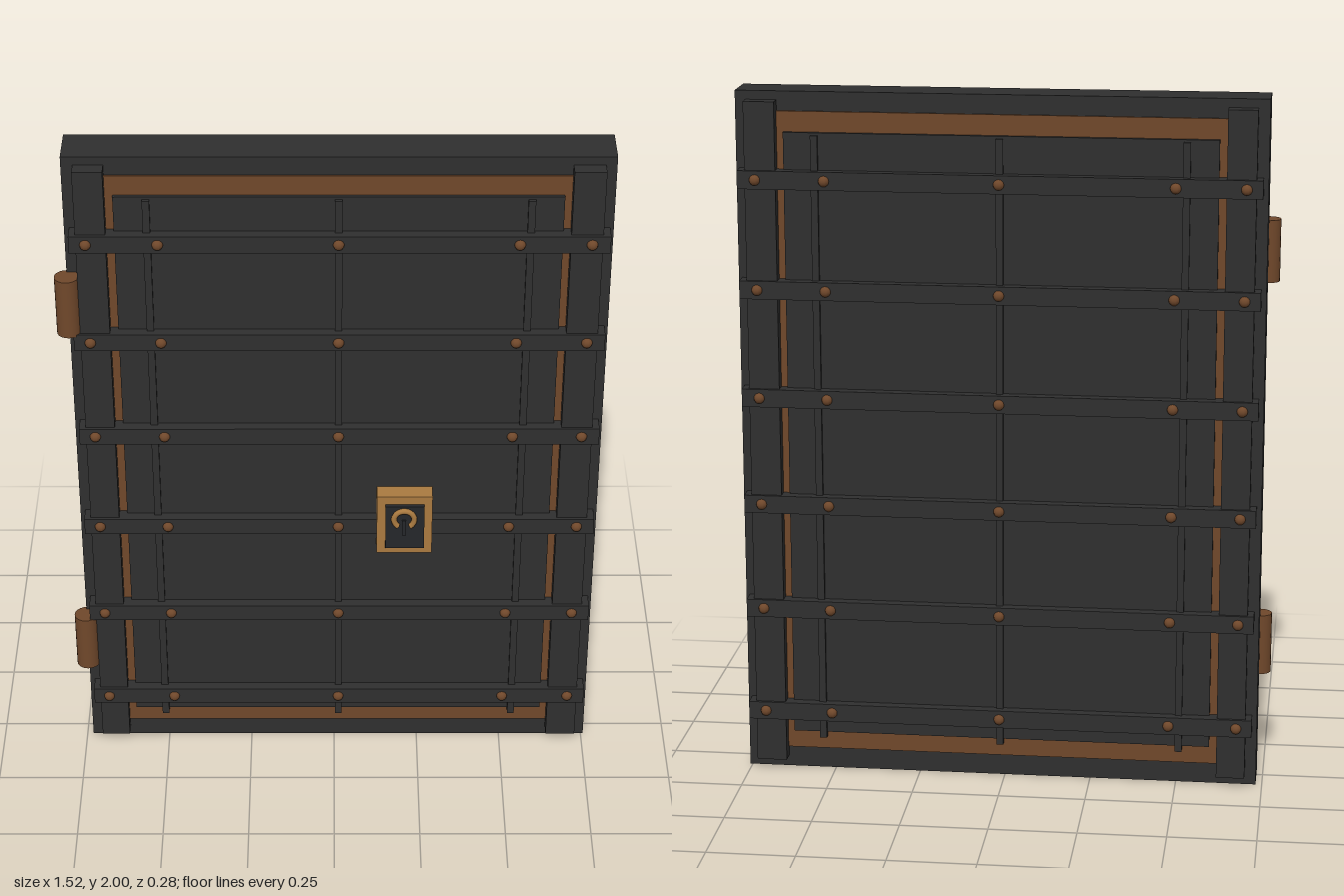
import * as THREE from 'three';

export function createModel() {
  const door = new THREE.Group();
  door.name = 'door';
  const mat = (name, color) => new THREE.MeshStandardMaterial({ name, color });
  const iron = mat('dark iron', 0x2f2f2f);
  const rust = mat('rusty brown', 0x70482b);
  const brass = mat('brass', 0xaa7a40);
  const black = mat('lock black', 0x25272b);

  const add = (name, geometry, material, parent = door) => {
    const mesh = new THREE.Mesh(geometry, material);
    mesh.name = name;
    parent.add(mesh);
    return mesh;
  };
  // Box given by its lower and upper limits on each axis
  const box = (name, [x0, x1], [y0, y1], [z0, z1], material, parent) => {
    const mesh = add(name, new THREE.BoxGeometry(x1 - x0, y1 - y0, z1 - z0), material, parent);
    mesh.position.set((x0 + x1) / 2, (y0 + y1) / 2, (z0 + z1) / 2);
    return mesh;
  };

  // Main slab, with its middle plane at z = mid
  const mid = -0.017, half = 0.0615;
  box('slab', [-0.732, 0.757], [0, 2], [mid - half, mid + half], iron);

  // Both faces carry the same layers
  const studGeometry = new THREE.SphereGeometry(0.0155, 10, 8);
  for (const side of [1, -1]) {
    const face = new THREE.Group();
    face.name = side > 0 ? 'frontFace' : 'backFace';
    door.add(face);
    // A layer reaching from the slab out to the given distance from the middle
    const layer = (name, xs, ys, reach, material) => {
      const zs = [mid + side * (half - 0.01), mid + side * reach].sort((a, b) => a - b);
      return box(name, xs, ys, zs, material, face);
    };

    layer('brownPanel', [-0.618, 0.64], [0.062, 1.945], 0.068, rust);
    layer('innerPanel', [-0.596, 0.62], [0.117, 1.887], 0.08, iron);
    layer('rightStile', [-0.7, -0.618], [0.032, 1.975], 0.102, iron);
    layer('leftStile', [0.64, 0.727], [0.032, 1.975], 0.102, iron);
    for (const x of [-0.507, 0.012, 0.532]) {
      layer('verticalStrip', [x - 0.01, x + 0.01], [0.102, 1.88], 0.09, iron);
    }

    // Riveted crossbands
    for (let i = 0; i < 6; i++) {
      const y = 0.187 + i * 0.3138;
      layer('crossband', [-0.718, 0.747], [y - 0.026, y + 0.026], 0.111, iron);
      for (const x of [-0.673, -0.478, 0.012, 0.502, 0.697]) {
        const stud = add('stud', studGeometry, rust, face);
        stud.position.set(x, y, mid + side * 0.111);
        stud.scale.z = 0.85;
      }
    }
  }

  // Hinge barrels
  for (const y of [0.388, 1.552]) {
    const hinge = add('hinge', new THREE.CylinderGeometry(0.034, 0.034, 0.178, 20), rust);
    hinge.position.set(-0.731, y, 0.068);
  }

  // Lock with raised plate, keyhole ring and slot
  const lock = new THREE.Group();
  lock.name = 'lock';
  door.add(lock);
  box('lockBase', [0.122, 0.281], [0.737, 0.934], [0.06, 0.115], brass, lock);
  box('lockPlate', [0.147, 0.258], [0.762, 0.909], [0.11, 0.127], black, lock);
  const arc = Math.PI * 1.6;
  const ring = add('keyholeRing', new THREE.TorusGeometry(0.029, 0.0085, 8, 24, arc), brass, lock);
  ring.position.set(0.2, 0.867, 0.131);
  ring.rotation.z = Math.PI / 2 - arc / 2;
  box('keySlot', [0.194, 0.206], [0.81, 0.862], [0.12, 0.131], black, lock);

  return door;
}
